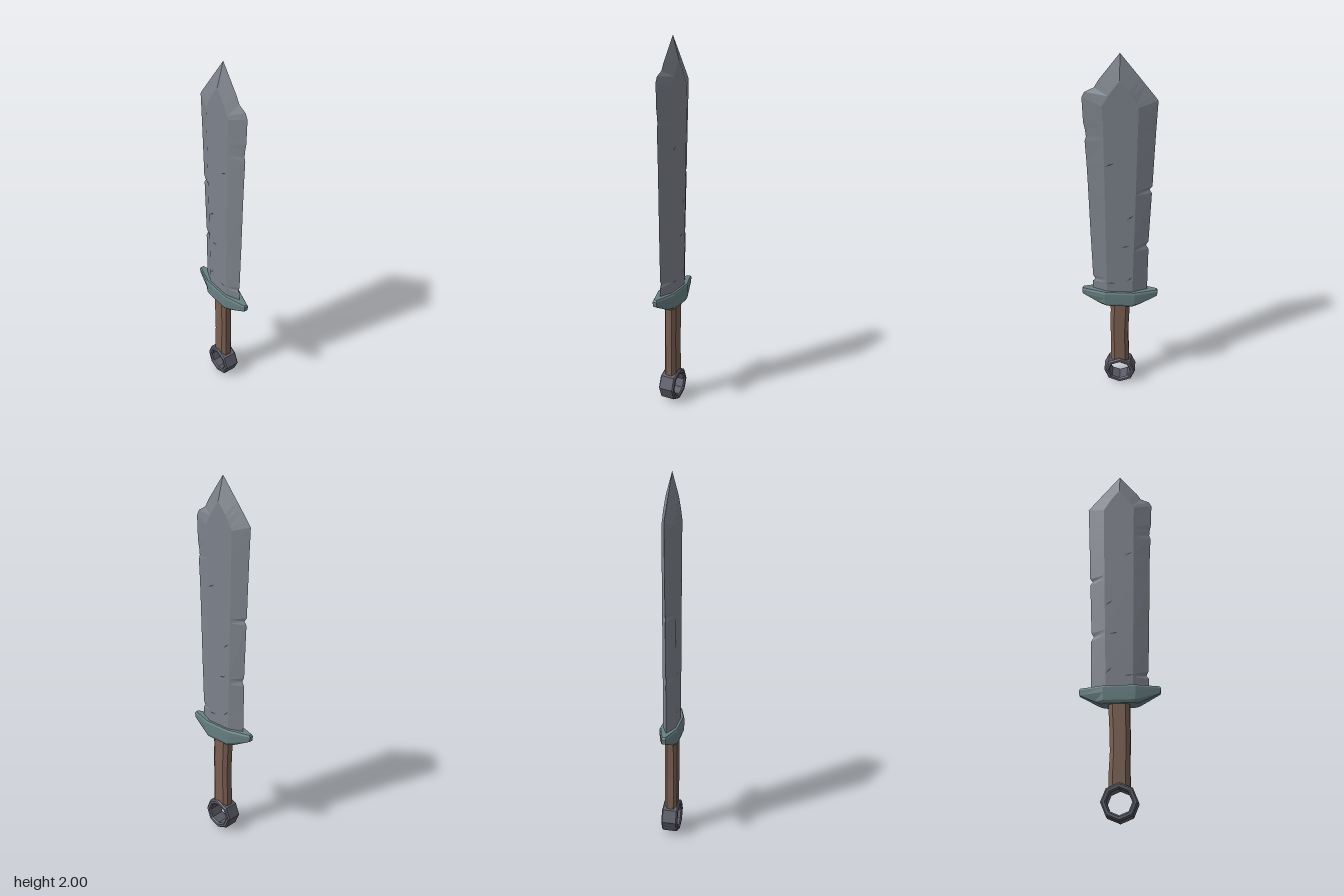
import * as THREE from 'three';

const V = (x, y, z) => new THREE.Vector3(x, y, z);

// Flat-shaded skin over a stack of equal-length loops, counter-clockwise from above, bottom to top
function loft(loops, capTop = true) {
  const pos = [];
  const tri = (a, b, c) => {
    const area = b.clone().sub(a).cross(c.clone().sub(a)).length();
    if (area > 1e-9) for (const p of [a, b, c]) pos.push(p.x, p.y, p.z);
  };
  const n = loops[0].length;
  for (let i = 0; i < loops.length - 1; i++) {
    for (let j = 0; j < n; j++) {
      const k = (j + 1) % n, lo = loops[i], hi = loops[i + 1];
      tri(lo[j], lo[k], hi[k]);
      tri(lo[j], hi[k], hi[j]);
    }
  }
  const bottom = loops[0], top = loops[loops.length - 1];
  for (let j = 1; j < n - 1; j++) {
    tri(bottom[0], bottom[j + 1], bottom[j]);
    if (capTop) tri(top[0], top[j], top[j + 1]);
  }
  const g = new THREE.BufferGeometry();
  g.setAttribute('position', new THREE.Float32BufferAttribute(pos, 3));
  g.computeVertexNormals();
  return g;
}

function part(name, geometry, color) {
  const m = new THREE.Mesh(geometry, new THREE.MeshStandardMaterial({ color, flatShading: true }));
  m.name = name;
  return m;
}

const HALF = 0.034; // half thickness of the blade

// One blade section: cutting edges at z = 0, flats between the bevel lines
function bladeLoop([xl, yl, xr, yr, il, ily, ir, iry]) {
  return [V(xl, yl, 0), V(il, ily, HALF), V(ir, iry, HALF),
    V(xr, yr, 0), V(ir, iry, -HALF), V(il, ily, -HALF)];
}

function makeBlade() {
  // y, left edge, right edge; the small steps are nicks
  const shaft = [
    [0.64, -0.15, 0.15], [0.72, -0.151, 0.149], [0.735, -0.151, 0.136], [0.76, -0.151, 0.148],
    [0.94, -0.153, 0.153], [0.965, -0.139, 0.154], [0.99, -0.152, 0.155],
    [1.28, -0.163, 0.162], [1.3, -0.15, 0.163], [1.32, -0.165, 0.163],
    [1.45, -0.169, 0.167], [1.56, -0.173, 0.173], [1.585, -0.174, 0.166],
    [1.62, -0.175, 0.17], [1.66, -0.177, 0.178],
  ];
  const rows = shaft.map(([y, l, r]) => {
    const t = (y - 0.64) / 1.1;
    return [l, y, r, y, -0.07 - 0.02 * t, y, 0.07 + 0.01 * t, y];
  });
  // Shoulders, chipped right slope and point
  rows.push(
    [-0.182, 1.775, 0.182, 1.785, -0.09, 1.75, 0.085, 1.755],
    [-0.163, 1.8, 0.168, 1.812, -0.08, 1.765, 0.075, 1.772],
    [-0.12, 1.853, 0.122, 1.835, -0.06, 1.8, 0.055, 1.805],
    [-0.095, 1.884, 0.1, 1.872, -0.045, 1.825, 0.045, 1.82],
    [0, 2, 0, 2, 0, 1.88, 0, 1.88],
  );
  return part('blade', loft(rows.map(bladeLoop)), 0x7d828b);
}

// Thin dark cuts lying on both faces of the blade
function makeGashes() {
  const group = new THREE.Group();
  group.name = 'gashes';
  const cuts = [[-0.055, 1.15, 0.5], [-0.03, 0.97, 0.1], [-0.055, 0.76, 0.6], [0.05, 1.45, 0.3], [0.045, 0.73, -0.1]];
  for (const side of [1, -1]) {
    for (const [x, y, angle] of cuts) {
      const s = new THREE.Shape([[-0.024, -0.003], [0.004, -0.003], [0.024, 0.004], [0, 0.004]]
        .map(([a, b]) => new THREE.Vector2(a, b)));
      const gash = part('gash', new THREE.ShapeGeometry(s), 0x3c4048);
      gash.position.set(x, y, side * (HALF + 0.001));
      gash.rotation.set(0, side > 0 ? 0 : Math.PI, angle);
      group.add(gash);
    }
  }
  return group;
}

// Boat-shaped guard: end x, end half depth, middle x, middle half depth
function makeGuard() {
  const sections = [
    [0.58, 0.095, 0.03, 0.07, 0.044],
    [0.595, 0.125, 0.027, 0.08, 0.05],
    [0.637, 0.207, 0.011, 0.083, 0.051],
    [0.664, 0.21, 0.012, 0.083, 0.051],
    [0.674, 0.203, 0.009, 0.08, 0.046],
  ];
  const loops = sections.map(([y, e, t, m, d]) => [
    V(-e, y, -t), V(-e, y, t), V(-m, y, d), V(m, y, d),
    V(e, y, t), V(e, y, -t), V(m, y, -d), V(-m, y, -d)]);
  return part('guard', loft(loops), 0x688083);
}

// Slightly bent eight-sided wooden grip: y, centre x, half width
function makeGrip() {
  const sections = [[0.16, -0.001, 0.053], [0.24, -0.001, 0.052], [0.34, 0.002, 0.05],
    [0.45, 0.001, 0.052], [0.53, -0.002, 0.053], [0.6, -0.003, 0.055]];
  const loops = sections.map(([y, cx, w]) => {
    const a = w * 0.6, d = 0.034, b = 0.018;
    return [[-w, -b], [-w, b], [-a, d], [a, d], [w, b], [w, -b], [a, -d], [-a, -d]]
      .map(([x, z]) => V(cx + x, y, z));
  });
  return part('grip', loft(loops), 0x7b6052);
}

// Chunky octagonal ring with chamfered rims
function makeRing() {
  const bevel = 0.007;
  const octagon = (r) => Array.from({ length: 8 }, (_, i) =>
    new THREE.Vector2(r * Math.cos(i * Math.PI / 4), r * Math.sin(i * Math.PI / 4)));
  const shape = new THREE.Shape(octagon(0.084));
  shape.holes.push(new THREE.Path(octagon(0.07).reverse()));
  const depth = 0.076;
  const g = new THREE.ExtrudeGeometry(shape, {
    depth, bevelEnabled: true, bevelSegments: 1, bevelSize: bevel, bevelThickness: bevel });
  g.translate(0, 0.0916, -depth / 2);
  return part('pommelRing', g, 0x5b5b67);
}

export function createModel() {
  const model = new THREE.Group();
  model.name = 'sword';
  model.add(makeBlade(), makeGashes(), makeGuard(), makeGrip(), makeRing());
  return model;
}
